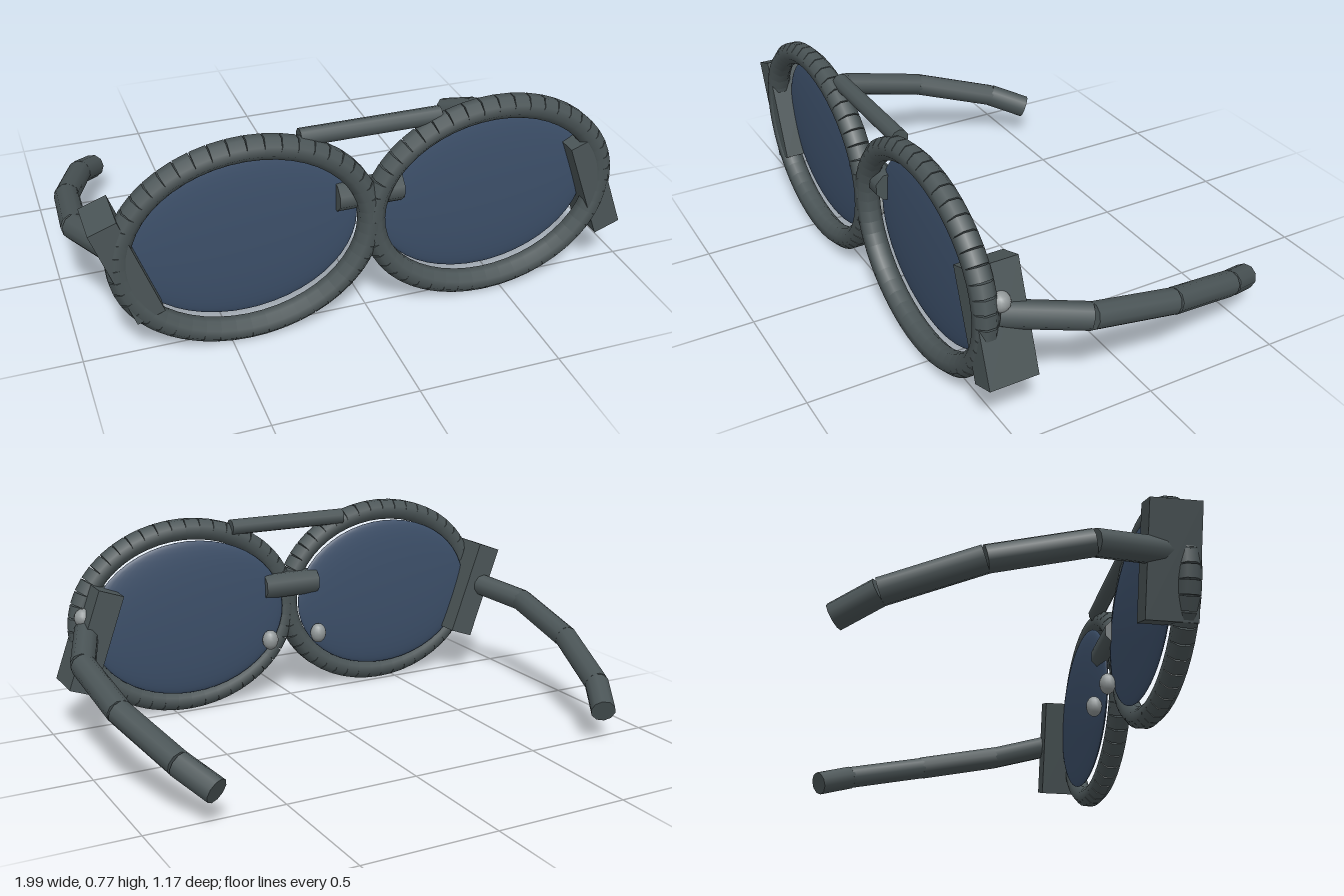
import * as THREE from 'three';

const frameMat = new THREE.MeshStandardMaterial({ name: 'dark grey frame', color: 0x4b5557 });
const lensMat = new THREE.MeshStandardMaterial({ name: 'blue lens', color: 0x3c4f69 });
const metalMat = new THREE.MeshStandardMaterial({ name: 'light grey', color: 0x929899 });

const UP = new THREE.Vector3(0, 1, 0);

// Straight rod between two points
function rod(name, a, b, radius, sides) {
  const dir = b.clone().sub(a);
  const geo = new THREE.CylinderGeometry(radius, radius, dir.length(), sides, 1, false, Math.PI / sides);
  const mesh = new THREE.Mesh(geo, frameMat);
  mesh.name = name;
  mesh.position.copy(a).add(b).multiplyScalar(0.5);
  mesh.quaternion.setFromUnitVectors(UP, dir.normalize());
  return mesh;
}

// Sphere stretched to three radii
function ellipsoid(name, mat, pos, radii, segments) {
  const mesh = new THREE.Mesh(new THREE.SphereGeometry(1, segments, segments / 2), mat);
  mesh.name = name;
  mesh.position.set(...pos);
  mesh.scale.set(...radii);
  return mesh;
}

// Oval rim made of short straight rods
function rim(name, cx) {
  const group = new THREE.Group();
  group.name = name;
  const count = 48;
  const point = (i) => {
    const t = (i / count) * Math.PI * 2;
    return new THREE.Vector3(cx + 0.43 * Math.cos(t), 0.386 + 0.345 * Math.sin(t), 0.54);
  };
  for (let i = 0; i < count; i++) group.add(rod('rimSegment', point(i), point(i + 1), 0.0425, 8));
  return group;
}

// Arm bent downward and inward in four straight pieces
function arm(name, s) {
  const group = new THREE.Group();
  group.name = name;
  const path = [
    [0.85, 0.395, 0.49], [0.95, 0.35, 0.214], [0.93, 0.276, -0.118],
    [0.842, 0.186, -0.428], [0.77, 0.128, -0.56],
  ].map(([x, y, z]) => new THREE.Vector3(s * x, y, z));
  for (let i = 0; i < path.length - 1; i++) group.add(rod('armSegment', path[i], path[i + 1], 0.046, 10));
  return group;
}

export function createModel() {
  const model = new THREE.Group();
  model.name = 'glasses';

  for (const [side, s] of [['left', 1], ['right', -1]]) {
    model.add(rim(side + 'Rim', s * 0.435));
    model.add(ellipsoid(side + 'Lens', lensMat, [s * 0.435, 0.386, 0.495], [0.4, 0.306, 0.03], 48));
    model.add(arm(side + 'Arm', s));

    // Both hinge blocks lean the same way
    const hinge = new THREE.Mesh(new THREE.BoxGeometry(0.1, 0.39, 0.175), frameMat);
    hinge.name = side + 'HingeBlock';
    hinge.position.set(s * 0.84, 0.364, 0.4875);
    hinge.rotation.z = THREE.MathUtils.degToRad(20);
    model.add(hinge);

    model.add(ellipsoid(side + 'HingeScrew', metalMat, [s * 0.86, 0.445, 0.487], [0.035, 0.035, 0.035], 16));
    model.add(ellipsoid(side + 'NosePad', metalMat, [s * 0.108, 0.26, 0.457], [0.033, 0.04, 0.03], 16));
  }

  // Crossbars joining the two rims
  const bar = (name, half, y, z, r, sides) =>
    rod(name, new THREE.Vector3(-half, y, z), new THREE.Vector3(half, y, z), r, sides);
  model.add(bar('topBar', 0.245, 0.724, 0.515, 0.031, 10));
  model.add(bar('bridge', 0.116, 0.472, 0.505, 0.052, 8));

  return model;
}
